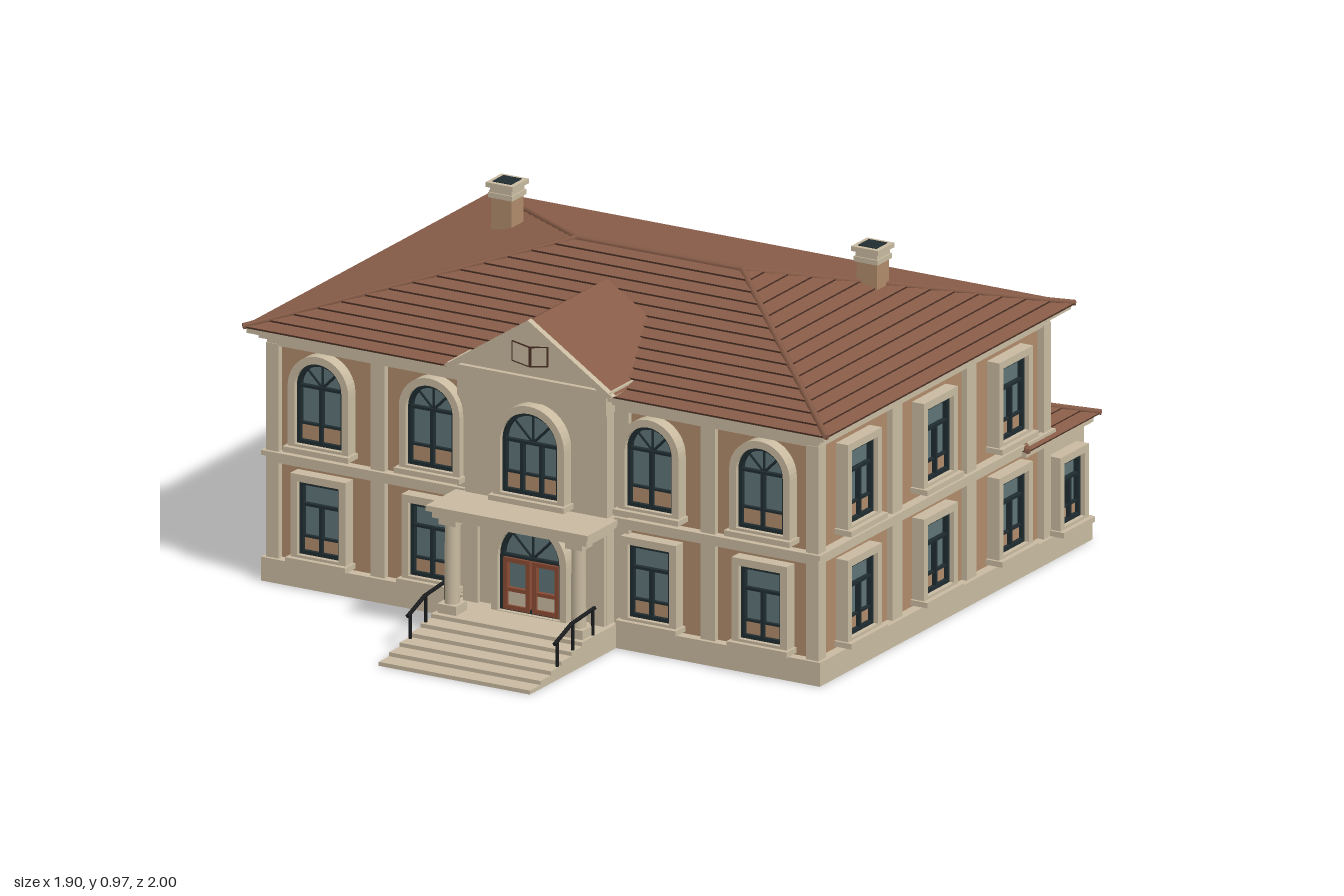
import * as THREE from 'three';

const mat = (name, color, extra = {}) => Object.assign(new THREE.MeshStandardMaterial({ color, ...extra }), { name });
const M = {
  stone: mat('cream stone', 0xc8baa0),
  wall: mat('tan plaster', 0xb08b6b),
  tile: mat('roof tile', 0x875c48),
  shade: mat('tile edge', 0x4a2f25),
  glass: mat('window glass', 0x5f7476),
  frame: mat('dark frame', 0x1f2c30),
  door: mat('door wood', 0x8a4b33),
  iron: mat('black iron', 0x1a1c1e),
};

function add(parent, name, geo, material, x = 0, y = 0, z = 0) {
  const m = new THREE.Mesh(geo, material);
  m.name = name;
  m.position.set(x, y, z);
  parent.add(m);
  return m;
}
// box given by its min and max on each axis
function box(parent, name, material, x0, x1, y0, y1, z0, z1) {
  return add(parent, name, new THREE.BoxGeometry(x1 - x0, y1 - y0, z1 - z0), material,
    (x0 + x1) / 2, (y0 + y1) / 2, (z0 + z1) / 2);
}
function rod(parent, name, material, a, b, r, sides = 6) {
  const p = new THREE.Vector3(...a), q = new THREE.Vector3(...b);
  const m = add(parent, name, new THREE.CylinderGeometry(r, r, p.distanceTo(q), sides), material);
  m.position.copy(p).add(q).multiplyScalar(0.5);
  m.quaternion.setFromUnitVectors(new THREE.Vector3(0, 1, 0), q.sub(p).normalize());
  return m;
}
// rectangle or round-headed opening, grown outward by g
function opening(w, h, arched, g = 0, C = THREE.Shape) {
  const s = new C(), r = w / 2 + g;
  s.moveTo(-r, -g).lineTo(r, -g);
  if (arched) s.lineTo(r, h - w / 2).absarc(0, h - w / 2, r, 0, Math.PI, false);
  else s.lineTo(r, h + g).lineTo(-r, h + g);
  s.closePath();
  return s;
}
function ringGeo(w, h, arched, outer, inner, depth) {
  const s = opening(w, h, arched, outer);
  s.holes.push(opening(w, h, arched, inner, THREE.Path));
  return new THREE.ExtrudeGeometry(s, { depth, bevelEnabled: false, curveSegments: 10 });
}
// window or doorway whose wall plane is z = 0 and whose foot is y = 0
function makeOpening(name, w, h, arched, isDoor = false) {
  const g = new THREE.Group();
  g.name = name;
  add(g, 'stoneSurround', ringGeo(w, h, arched, 0.022, 0, 0.04), M.stone);
  add(g, 'darkFrame', ringGeo(w, h, arched, 0, -0.011, 0.026), M.frame);
  add(g, 'glass', new THREE.ShapeGeometry(opening(w, h, arched), 10), M.glass, 0, 0, 0.01);
  const spring = arched ? h - w / 2 : h * 0.68;
  box(g, 'transom', M.frame, -w / 2, w / 2, spring - 0.004, spring + 0.004, 0.008, 0.024);
  if (arched) for (const a of [0.25, 0.5, 0.75].map(t => t * Math.PI))
    rod(g, 'fanBar', M.frame, [0, spring, 0.014], [Math.cos(a) * w * 0.48, spring + Math.sin(a) * w * 0.48, 0.014], 0.004, 4);
  if (isDoor) {
    for (const s of [-1, 1]) {
      const c = s * w * 0.235, hw = w * 0.215;
      const leaf = add(g, 'doorLeaf', ringGeo(hw * 2, spring - 0.008, false, 0, -0.013, 0.015), M.door, c, 0.002, 0.012);
      leaf.name = 'doorLeaf';
      box(g, 'doorPanel', M.stone, c - hw + 0.01, c + hw - 0.01, 0.012, 0.055, 0.012, 0.02);
      box(g, 'doorRail', M.door, c - hw, c + hw, 0.055, 0.066, 0.012, 0.025);
    }
  } else {
    box(g, 'blind', M.wall, -w / 2 + 0.01, w / 2 - 0.01, 0.01, h * 0.23, 0.01, 0.014);
    const bars = w > 0.16 ? [-w / 6, w / 6] : [0];
    for (const x of bars) box(g, 'mullion', M.frame, x - 0.005, x + 0.005, 0, spring, 0.008, 0.026);
    box(g, 'lowerBar', M.frame, -w / 2, w / 2, h * 0.23, h * 0.23 + 0.006, 0.008, 0.022);
    box(g, 'sill', M.stone, -w / 2 - 0.03, w / 2 + 0.03, -0.024, -0.008, 0, 0.055);
  }
  return g;
}
// stepped hip roof: overlapping tile courses with dark lower edges
function hipRoof(name, hw, hd, ridge, height, courses, lip) {
  const g = new THREE.Group(), tiles = [], edges = [];
  g.name = name;
  const ring = (t, y) => [[-1, 1], [1, 1], [1, -1], [-1, -1]]
    .map(([sx, sz]) => [sx * (hw + (ridge - hw) * t), y, sz * hd * (1 - t)]);
  const band = (out, lo, hi) => {
    for (let i = 0; i < 4; i++) {
      const j = (i + 1) % 4;
      out.push(...lo[i], ...lo[j], ...hi[j], ...lo[i], ...hi[j], ...hi[i]);
    }
  };
  for (let k = 0; k < courses; k++) {
    const t = k / courses, u = (k + 1) / courses;
    band(edges, ring(t, t * height), ring(t, t * height + lip));
    band(tiles, ring(t, t * height + lip), ring(u, u * height));
  }
  for (const [n, p, m] of [['tileCourses', tiles, M.tile], ['courseEdges', edges, M.shade]]) {
    const geo = new THREE.BufferGeometry();
    geo.setAttribute('position', new THREE.Float32BufferAttribute(p, 3));
    geo.computeVertexNormals();
    add(g, n, geo, m);
  }
  for (const sx of [-1, 1]) for (const sz of [-1, 1])
    rod(g, 'hipCap', M.tile, [sx * hw, 0.004, sz * hd], [sx * ridge, height, 0], 0.009);
  if (ridge) rod(g, 'ridgeCap', M.tile, [-ridge, height, 0], [ridge, height, 0], 0.009);
  return g;
}
function triangle(hw, y0, y1, C = THREE.Shape) {
  const s = new C();
  s.moveTo(-hw, y0).lineTo(hw, y0).lineTo(0, y1).closePath();
  return s;
}

export function createModel() {
  const root = new THREE.Group();
  root.name = 'villa';
  const W = 0.875, ZF = 0.5, ZB = -0.73, ZC = -0.115;

  // main body with plinth, belt course and cornice
  const around = (name, o, y0, y1) => box(root, name, M.stone, -W - o, W + o, y0, y1, ZB - o, ZF + o);
  box(root, 'walls', M.wall, -W, W, 0.05, 0.73, ZB, ZF);
  around('plinth', 0.03, 0, 0.07);
  around('beltCourse', 0.018, 0.35, 0.37);
  around('beltCap', 0.03, 0.37, 0.384);
  around('frieze', 0.018, 0.695, 0.715);
  around('corniceLower', 0.035, 0.715, 0.732);
  around('corniceUpper', 0.06, 0.732, 0.746);
  const roof = hipRoof('mainRoof', 0.945, 0.68, 0.27, 0.183, 14, 0.005);
  roof.position.set(0, 0.746, ZC - 0.003);
  root.add(roof);

  // places a window on one of the four faces; u is x or z along that face
  const place = (face, u, y, w, h, arched, off = 0) => {
    const g = makeOpening('window', w, h, arched);
    const [x, z, ry] = {
      front: [u, ZF + off, 0], back: [u, ZB - off, Math.PI],
      left: [W + off, u, Math.PI / 2], right: [-W - off, u, -Math.PI / 2],
    }[face];
    g.position.set(x, y, z);
    g.rotation.y = ry;
    root.add(g);
  };
  for (const x of [-0.715, -0.355, 0.355, 0.715]) {
    place('front', x, 0.425, 0.152, 0.245, true);
    place('front', x, 0.1, 0.135, 0.215, false);
  }
  for (const x of [-0.715, -0.355, 0, 0.355, 0.715]) {
    place('back', x, 0.43, 0.14, 0.22, false);
    if (x < 0.7) place('back', x, 0.1, 0.14, 0.21, false);
  }
  for (const face of ['left', 'right']) for (const z of [0.3, -0.115, -0.525]) {
    place(face, z, 0.43, 0.14, 0.22, false);
    place(face, z, 0.1, 0.14, 0.21, false);
  }

  // pilasters
  for (const s of [-1, 1]) {
    for (const x of [0.535, 0.255]) box(root, 'frontPilaster', M.stone, s * x - 0.023, s * x + 0.023, 0.07, 0.7, ZF - 0.01, ZF + 0.018);
    for (const x of [0.535, 0.18]) box(root, 'backPilaster', M.stone, s * x - 0.025, s * x + 0.025, 0.07, 0.7, ZB - 0.018, ZB + 0.01);
    for (const z of [0.085, -0.32]) box(root, 'sidePilaster', M.stone, s * (W + 0.002) - 0.016, s * (W + 0.002) + 0.016, 0.07, 0.7, z - 0.027, z + 0.027);
    for (const z of [ZF, ZB]) box(root, 'cornerPilaster', M.stone, s * W - 0.02, s * W + 0.02, 0.07, 0.7, z - 0.02, z + 0.02);
  }

  // central bay and pediment
  box(root, 'bay', M.stone, -0.23, 0.23, 0, 0.77, 0.4, 0.555);
  box(root, 'bayBelt', M.stone, -0.24, 0.24, 0.35, 0.384, 0.4, 0.572);
  box(root, 'bayFrieze', M.stone, -0.235, 0.235, 0.69, 0.755, 0.4, 0.568);
  box(root, 'pedimentBase', M.stone, -0.265, 0.265, 0.755, 0.772, 0.4, 0.595);
  const extrude = (s, depth) => new THREE.ExtrudeGeometry(s, { depth, bevelEnabled: false });
  add(root, 'gableRoof', extrude(triangle(0.272, 0.762, 0.938), 0.415), M.tile, 0, 0, 0.165);
  add(root, 'pediment', extrude(triangle(0.262, 0.765, 0.932), 0.02), M.stone, 0, 0, 0.565);
  const rake = triangle(0.275, 0.762, 0.942);
  rake.holes.push(triangle(0.225, 0.774, 0.92, THREE.Path));
  add(root, 'rakingCornice', extrude(rake, 0.02), M.stone, 0, 0, 0.58);
  for (const s of [-1, 1]) { // open book relief
    const page = new THREE.Shape();
    page.moveTo(0, 0.8).lineTo(s * 0.058, 0.81).lineTo(s * 0.058, 0.87).lineTo(0, 0.86).closePath();
    const inner = new THREE.Path();
    inner.moveTo(s * 0.003, 0.804).lineTo(s * 0.055, 0.813).lineTo(s * 0.055, 0.867).lineTo(s * 0.003, 0.857).closePath();
    page.holes.push(inner);
    add(root, 'bookRelief', extrude(page, 0.004), M.shade, 0, 0, 0.585);
  }
  place('front', 0, 0.42, 0.185, 0.245, true, 0.055);
  const door = makeOpening('entrance', 0.2, 0.26, true, true);
  door.position.set(0, 0.072, 0.555);
  root.add(door);

  // porch, steps and railings
  box(root, 'porchSlab', M.stone, -0.25, 0.25, 0.348, 0.37, 0.55, 0.7);
  box(root, 'porchCap', M.stone, -0.262, 0.262, 0.37, 0.386, 0.55, 0.715);
  for (let k = 0; k < 6; k++) box(root, 'step', M.stone, -0.245, 0.245, 0, 0.0117 * (k + 1), 0.5, 1 - 0.057 * k);
  for (const s of [-1, 1]) {
    const x = s * 0.205;
    box(root, 'columnBase', M.stone, x - 0.03, x + 0.03, 0.07, 0.097, 0.637, 0.697);
    add(root, 'column', new THREE.CylinderGeometry(0.02, 0.022, 0.25, 16), M.stone, x, 0.215, 0.667);
    box(root, 'columnCapital', M.stone, x - 0.028, x + 0.028, 0.33, 0.35, 0.639, 0.695);
    box(root, 'porchPilaster', M.stone, x - 0.024, x + 0.024, 0.07, 0.35, 0.55, 0.568);
    const rx = s * 0.238, pts = [[rx, 0.104, 0.855], [rx, 0.138, 0.76], [rx, 0.148, 0.635]];
    for (let i = 0; i < 2; i++) rod(root, 'handrail', M.iron, pts[i], pts[i + 1], 0.006);
    for (const [y0, y1, z] of [[0.025, 0.11, 0.84], [0.055, 0.138, 0.755], [0.07, 0.148, 0.645]])
      rod(root, 'railPost', M.iron, [rx, y0, z], [rx, y1, z], 0.005);
  }

  // rear annex
  box(root, 'annexWalls', M.stone, 0.585, 0.885, 0, 0.35, -0.945, -0.725);
  box(root, 'annexPlinth', M.stone, 0.57, 0.905, 0, 0.07, -0.96, -0.72);
  box(root, 'annexCornice', M.stone, 0.565, 0.905, 0.345, 0.367, -0.965, -0.595);
  const annexRoof = hipRoof('annexRoof', 0.185, 0.2, 0, 0.066, 5, 0.004);
  annexRoof.position.set(0.735, 0.367, -0.78);
  root.add(annexRoof);
  place('back', 0.735, 0.095, 0.11, 0.185, false, 0.215);
  place('left', -0.828, 0.095, 0.11, 0.185, false, 0.01);

  // chimneys
  for (const [x, z] of [[-0.627, -0.345], [0.532, -0.387]]) {
    const layer = (name, m, r, y0, y1) => box(root, name, m, x - r, x + r, y0, y1, z - r, z + r);
    layer('chimneyShaft', M.wall, 0.033, 0.78, 0.93);
    layer('chimneyCollar', M.stone, 0.039, 0.925, 0.94);
    layer('chimneyNeck', M.stone, 0.035, 0.94, 0.956);
    layer('chimneyCap', M.stone, 0.044, 0.956, 0.97);
    layer('chimneyFlue', M.frame, 0.03, 0.965, 0.972);
  }
  return root;
}
